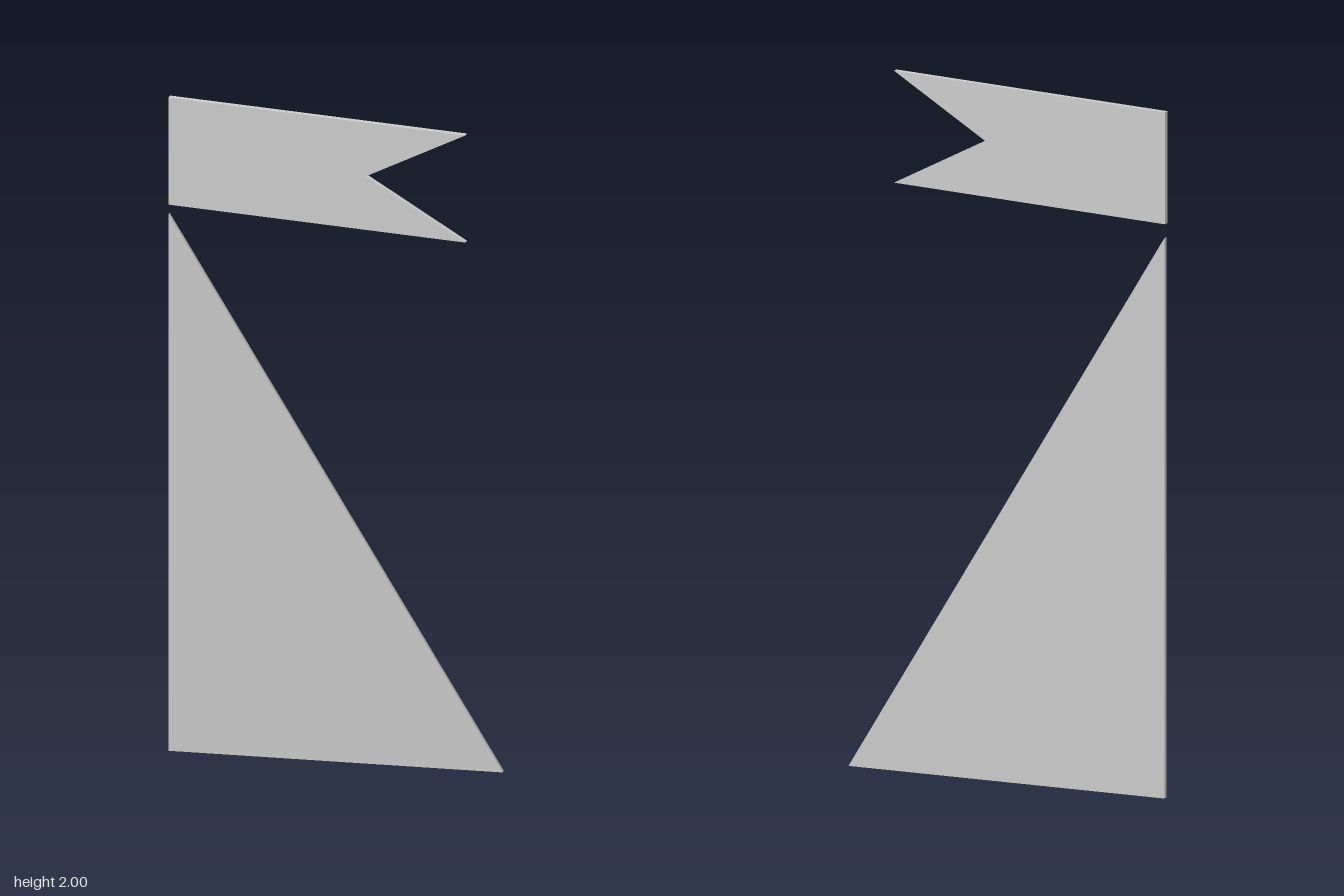
import * as THREE from 'three';

const THICKNESS = 0.015;

// Thin flat panel cut from an outline, centred on its own thickness
function panel(name, outline) {
  const shape = new THREE.Shape(outline.map(([x, y]) => new THREE.Vector2(x, y)));
  const geometry = new THREE.ExtrudeGeometry(shape, { depth: THICKNESS, bevelEnabled: false });
  geometry.translate(0, 0, -THICKNESS / 2);
  const mesh = new THREE.Mesh(geometry, new THREE.MeshStandardMaterial({ color: 0xcccccc }));
  mesh.name = name;
  return mesh;
}

export function createModel() {
  const model = new THREE.Group();
  model.name = 'sailAndPennant';

  // Triangular sail, swung back about the vertical
  const half = 0.477;
  const sail = panel('sail', [[-half, 0], [half, 0], [-half, 1.637]]);
  sail.rotation.y = 0.1537;
  sail.position.z = -0.0075;

  // Swallow-tailed pennant above the sail
  const pennant = panel('pennant', [
    [-0.466, 1.673], [0.415, 1.673], [0.119, 1.836], [0.415, 2], [-0.466, 2],
  ]);
  pennant.position.z = 0.08;

  model.add(sail, pennant);
  return model;
}
